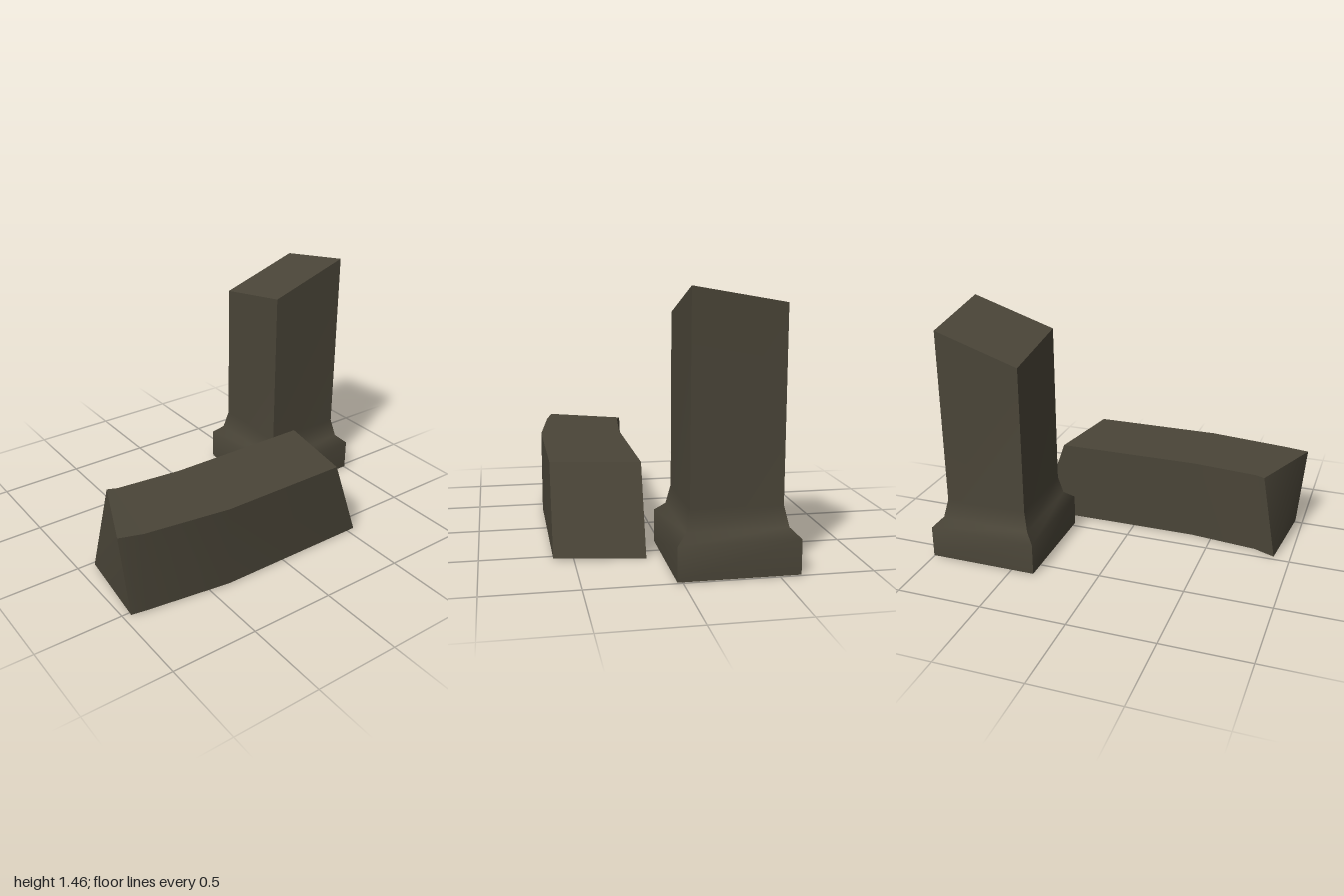
import * as THREE from 'three';

// Four-sided loft: each section is four corners, counterclockwise seen from the end of the loft.
// Every side is its own strip, so shading is smooth along the loft and sharp at the corners.
function loft(sections) {
  const pos = [], index = [];
  const add = (p) => pos.push(...p) / 3 - 1;
  for (let k = 0; k < 4; k++) {
    const strip = sections.map((s) => [add(s[k]), add(s[(k + 1) % 4])]);
    for (let i = 0; i < strip.length - 1; i++) {
      const [a, b] = strip[i], [d, c] = strip[i + 1];
      index.push(a, b, c, a, c, d);
    }
  }
  const [e, f, g, h] = sections[sections.length - 1].map(add);
  index.push(e, f, g, e, g, h);
  const [p, q, r, s] = sections[0].map(add);
  index.push(p, r, q, p, s, r);
  const geo = new THREE.BufferGeometry();
  geo.setAttribute('position', new THREE.Float32BufferAttribute(pos, 3));
  geo.setIndex(index);
  geo.computeVertexNormals();
  return geo;
}

export function createModel() {
  const group = new THREE.Group();
  group.name = 'brokenPillar';
  const stone = new THREE.MeshStandardMaterial({ color: 0x4a4538 });
  stone.name = 'dark stone';

  // Standing stump: square plinth, sloped moulding, shaft with a slanted break
  const square = (half, cx, cz, height) =>
    [[-1, 1], [1, 1], [1, -1], [-1, -1]].map(([sx, sz]) => {
      const x = cx + sx * half, z = cz + sz * half;
      return [x, height(x, z), z];
    });
  const breakPlane = (x, z) => 1.21 + 0.175 * (x + 0.535) - 0.33 * (z + 0.435);
  const stump = new THREE.Mesh(loft([
    square(0.32, -0.291, -0.68, () => 0.005),
    square(0.32, -0.291, -0.68, () => 0.19),
    square(0.267, -0.292, -0.678, () => 0.24),
    square(0.243, -0.292, -0.678, () => 0.35),
    square(0.243, -0.292, -0.678, breakPlane),
  ]), stone);
  stump.name = 'standingStump';
  group.add(stump);

  // Fallen shaft, from its slanted back end to the twisted, bent front end
  const fallen = new THREE.Mesh(loft([
    [[0.12, 0.005, -0.63], [0.608, 0.005, -0.545], [0.608, 0.49, -0.375], [0.12, 0.49, -0.46]],
    [[0.12, 0.005, 0.38], [0.608, 0.005, 0.38], [0.608, 0.49, 0.38], [0.12, 0.49, 0.38]],
    [[0.075, 0.005, 0.78], [0.54, 0.005, 0.875], [0.54, 0.49, 0.865], [0.08, 0.49, 0.76]],
    [[0.023, 0.005, 0.905], [0.52, 0, 0.955], [0.503, 0.495, 1], [0.057, 0.49, 0.815]],
  ]), stone);
  fallen.name = 'fallenShaft';
  group.add(fallen);

  return group;
}
